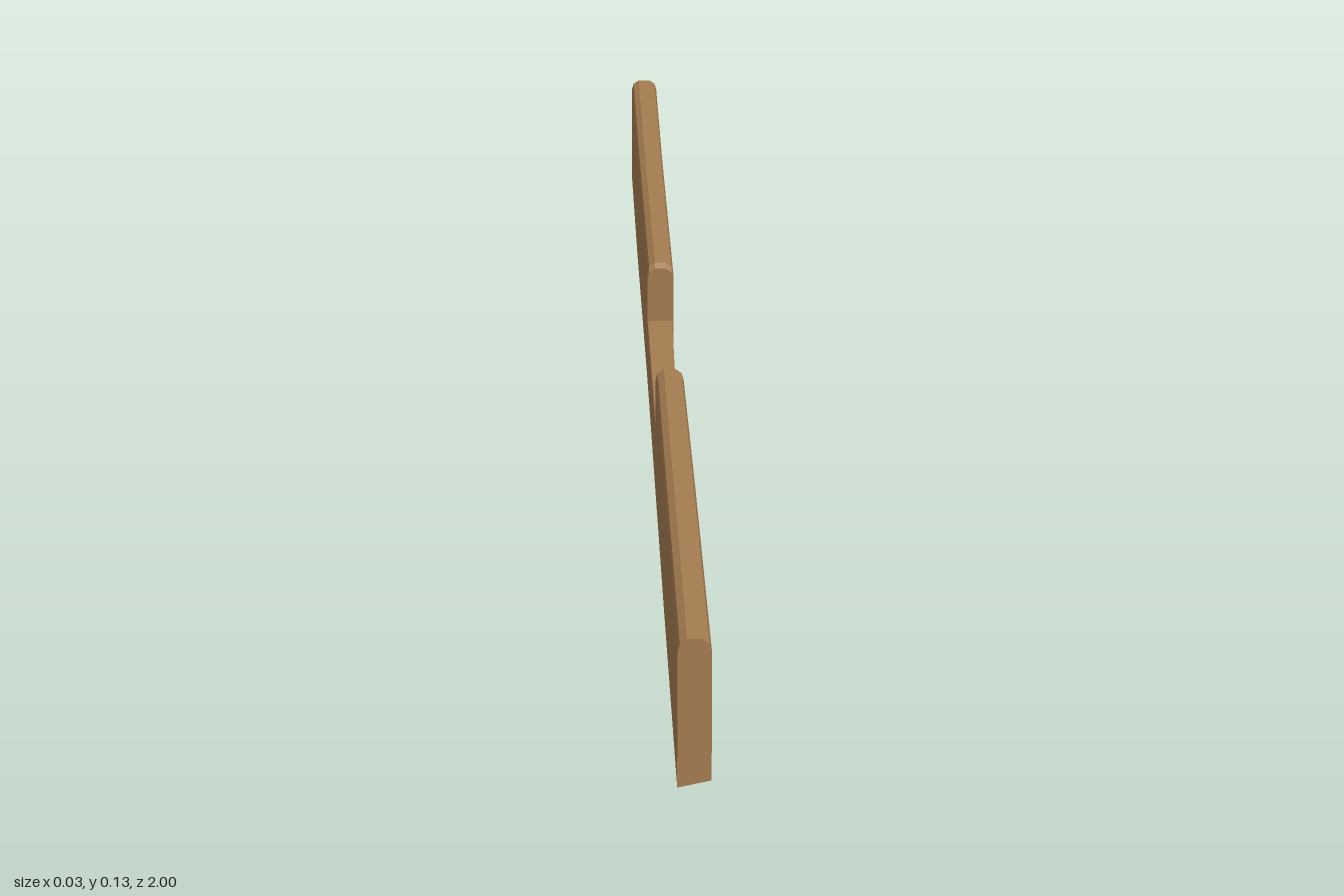
import * as THREE from 'three';

// Stations along the plank: z, left x, right x, left bottom, right bottom, top, edge bevel
const stations = [
  [1.0, -0.014, 0.014, 0.005, 0.011, 0.133, 0.008],
  [0.55, -0.014, 0.014, 0.0, 0.004, 0.127, 0.008],
  [0.215, -0.014, 0.013, 0.001, 0.003, 0.126, 0.008],
  [0.21, -0.014, 0.013, 0.001, 0.003, 0.121, 0.008],
  [0.21, -0.014, 0.012, 0.001, 0.003, 0.065, 0.001],
  [0.0, -0.014, 0.01, 0.002, 0.004, 0.065, 0.001],
  [-0.165, -0.014, 0.012, 0.002, 0.003, 0.065, 0.001],
  [-0.165, -0.014, 0.013, 0.002, 0.003, 0.121, 0.008],
  [-0.17, -0.014, 0.013, 0.002, 0.003, 0.126, 0.008],
  [-0.66, -0.015, 0.013, 0.001, 0.002, 0.125, 0.008],
  [-1.0, -0.015, 0.014, 0.003, 0.003, 0.124, 0.008],
];

// Cross-section with bevelled upper edges, anticlockwise seen from the front
function section([z, l, r, bl, br, t, b]) {
  return [
    [l, bl], [r, br],
    [r, t - b * 1.4], [r - b * 0.25, t - b * 0.5], [r - b, t],
    [l + b, t], [l + b * 0.25, t - b * 0.5], [l, t - b * 1.4],
  ].map(([x, y]) => [x, y, z]);
}

// Skin neighbouring sections and cap both ends
function loft(rings) {
  const pos = [];
  const tri = (...corners) => corners.forEach((p) => pos.push(...p));
  const n = rings[0].length;
  for (let i = 0; i < rings.length - 1; i++) {
    const a = rings[i], c = rings[i + 1];
    for (let j = 0; j < n; j++) {
      const k = (j + 1) % n;
      tri(a[j], c[j], c[k]);
      tri(a[j], c[k], a[k]);
    }
  }
  const first = rings[0], last = rings[rings.length - 1];
  for (let j = 1; j < n - 1; j++) {
    tri(first[0], first[j], first[j + 1]);
    tri(last[0], last[j + 1], last[j]);
  }
  const geo = new THREE.BufferGeometry();
  geo.setAttribute('position', new THREE.Float32BufferAttribute(pos, 3));
  geo.computeVertexNormals();
  return geo;
}

export function createModel() {
  const group = new THREE.Group();
  group.name = 'notchedPlank';
  const wood = new THREE.MeshStandardMaterial({ color: 0xa57c50, flatShading: true });
  const plank = new THREE.Mesh(loft(stations.map(section)), wood);
  plank.name = 'plank';
  group.add(plank);
  return group;
}
